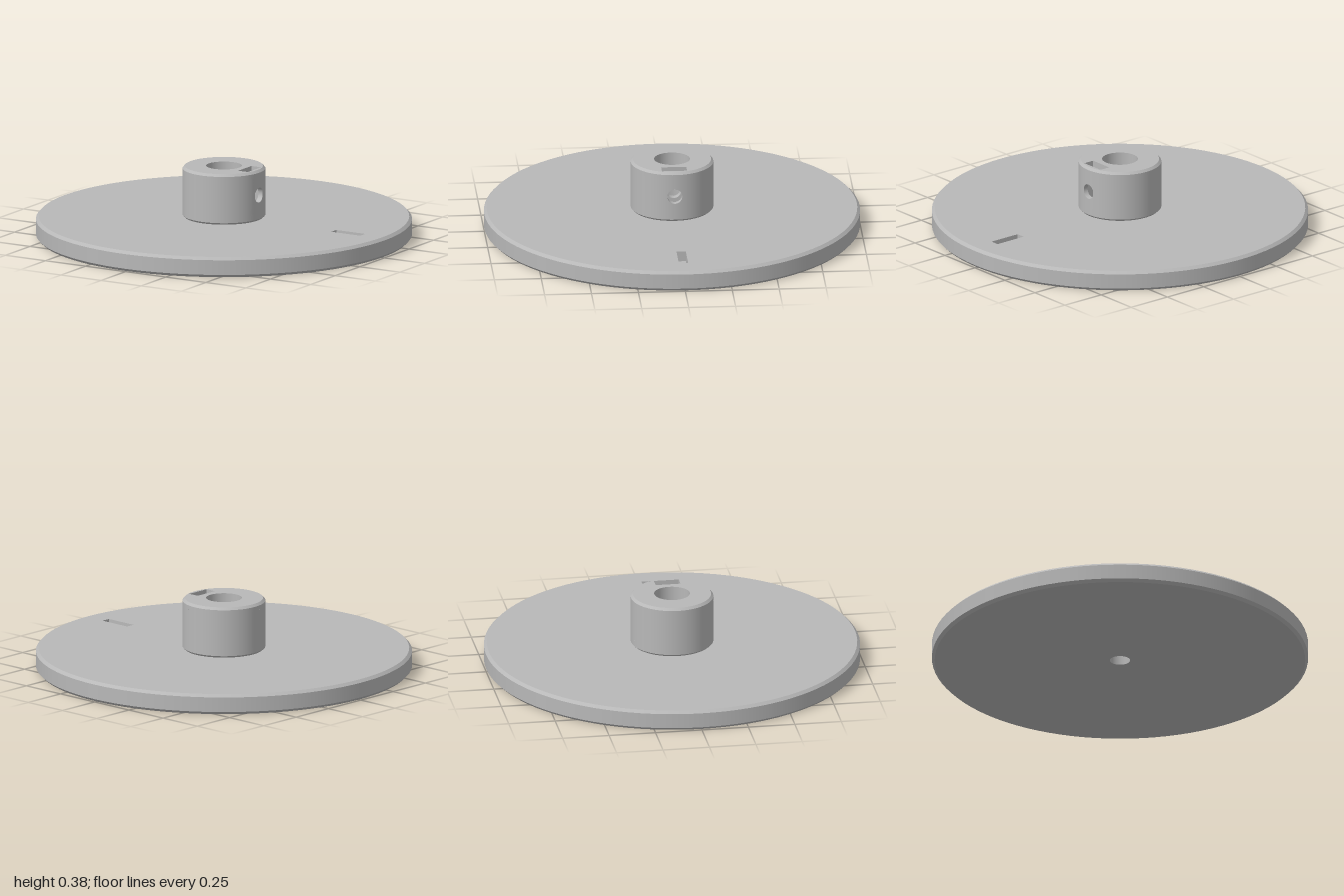
import * as THREE from 'three';
import { mergeGeometries } from 'three/addons/utils/BufferGeometryUtils.js';
import { ParametricGeometry } from 'three/addons/geometries/ParametricGeometry.js';

const SEG = 96;
const PLATE_TOP = 0.11, HUB_TOP = 0.385, HUB_R = 0.22, BORE_R = 0.095;
const SCREW_Y = 0.25, SCREW_R = 0.04;
const HUB_SLOT = { x0: 0.13, x1: 0.19, z: 0.067, floor: 0.18, top: HUB_TOP };
const PLATE_SLOT = { x0: 0.685, x1: 0.865, z: 0.025, floor: 0.055, top: PLATE_TOP };

// Revolves each profile segment separately so every edge stays sharp
function revolve(points, start = 0, length = Math.PI * 2) {
  const parts = [];
  for (let i = 0; i < points.length - 1; i++) {
    const pair = [points[i], points[i + 1]].map(([r, y]) => new THREE.Vector2(r, y));
    parts.push(new THREE.LatheGeometry(pair, SEG, start, length));
  }
  return mergeGeometries(parts);
}

// Flat horizontal disc with round and slot-shaped holes
function disc(radius, holeRadius, slot, y) {
  const shape = new THREE.Shape().absarc(0, 0, radius, 0, Math.PI * 2);
  shape.holes.push(new THREE.Path().absarc(0, 0, holeRadius, 0, Math.PI * 2, true));
  shape.holes.push(rect(new THREE.Path(), slot.x0, -slot.z, slot.x1, slot.z));
  return new THREE.ShapeGeometry(shape, SEG / 2).rotateX(-Math.PI / 2).translate(0, y, 0);
}

function rect(path, x0, y0, x1, y1) {
  return path.moveTo(x0, y0).lineTo(x1, y0).lineTo(x1, y1).lineTo(x0, y1).closePath();
}

// Inward-facing open-topped box; skip lists the box faces left out
function pocket(slot, skip) {
  const h = slot.top - slot.floor;
  const geo = new THREE.BoxGeometry(slot.x1 - slot.x0, h, slot.z * 2);
  geo.setIndex(Array.from(geo.index.array).filter((_, i) => !skip.includes(Math.floor(i / 6))));
  geo.clearGroups();
  geo.scale(-1, 1, 1).translate((slot.x0 + slot.x1) / 2, slot.floor + h / 2, 0);
  geo.computeVertexNormals();
  return geo;
}

// Cylinder wall pierced on the +x side by the screw hole
function piercedWall(radius, y0, y1, half, inward) {
  const a = Math.asin(half / radius);
  const band = (lo, hi, ...arc) =>
    revolve(inward ? [[radius, hi], [radius, lo]] : [[radius, lo], [radius, hi]], ...arc);
  const side = inward ? 1 : -1;
  const patch = new ParametricGeometry((u, v, p) => {
    const t = v * Math.PI * 2, c = Math.cos(t), s = Math.sin(t);
    const r = THREE.MathUtils.lerp(SCREW_R, half / Math.max(Math.abs(c), Math.abs(s)), u);
    const z = side * r * c;
    p.set(Math.sqrt(Math.max(0, radius * radius - z * z)), SCREW_Y + r * s, z);
  }, 8, 64);
  return mergeGeometries([
    band(y0, SCREW_Y - half), band(SCREW_Y + half, y1),
    band(SCREW_Y - half, SCREW_Y + half, Math.PI / 2 + a, Math.PI * 2 - 2 * a), patch,
  ]);
}

// Round tunnel along x between two end surfaces given as x(z)
function tunnel(startX, endX) {
  return new ParametricGeometry((u, v, p) => {
    const t = v * Math.PI * 2, z = -SCREW_R * Math.cos(t);
    p.set(THREE.MathUtils.lerp(startX(z), endX(z), u), SCREW_Y + SCREW_R * Math.sin(t), z);
  }, 1, 48);
}

// Nut slot side with the screw hole through it
function slotSide(x, facing) {
  const { z, floor, top } = HUB_SLOT;
  const shape = rect(new THREE.Shape(), -z, floor, z, top);
  shape.holes.push(new THREE.Path().absarc(0, SCREW_Y, SCREW_R, 0, Math.PI * 2, true));
  return new THREE.ShapeGeometry(shape, 24).rotateY(facing * Math.PI / 2).translate(x, 0, 0);
}

export function createModel() {
  const model = new THREE.Group();
  const grey = new THREE.MeshStandardMaterial({ color: 0xb8b8b8, side: THREE.DoubleSide });
  grey.name = 'grey';

  const plate = new THREE.Group();
  plate.name = 'plate';
  const hub = new THREE.Group();
  hub.name = 'hub';
  model.add(plate, hub);
  const add = (group, name, geometry) => {
    const mesh = new THREE.Mesh(geometry, grey);
    mesh.name = name;
    group.add(mesh);
  };

  // Round plate with chamfered rims and a blind centre hole underneath
  add(plate, 'plateBody', revolve([
    [0, 0.08], [0.054, 0.08], [0.054, 0], [0.985, 0], [1, 0.015], [1, 0.095], [0.985, PLATE_TOP],
  ]));
  add(plate, 'plateTop', disc(0.985, 0.21, PLATE_SLOT, PLATE_TOP));
  add(plate, 'plateSlot', pocket(PLATE_SLOT, [2]));

  // Hub with chamfered ends
  add(hub, 'hubWall', piercedWall(HUB_R, 0.12, 0.372, 0.1, false));
  add(hub, 'hubLowerChamfer', revolve([[0.21, PLATE_TOP], [HUB_R, 0.12]]));
  add(hub, 'hubUpperChamfer', revolve([[HUB_R, 0.372], [0.208, HUB_TOP]]));
  add(hub, 'hubTop', disc(0.208, BORE_R, HUB_SLOT, HUB_TOP));

  // Blind shaft bore
  add(hub, 'boreWall', piercedWall(BORE_R, PLATE_TOP, HUB_TOP, 0.06, true));
  add(hub, 'boreFloor', revolve([[BORE_R, PLATE_TOP], [0, PLATE_TOP]]));

  // Nut slot and the screw hole crossing it
  add(hub, 'nutSlot', pocket(HUB_SLOT, [0, 1, 2]));
  add(hub, 'nutSlotInnerSide', slotSide(HUB_SLOT.x0, 1));
  add(hub, 'nutSlotOuterSide', slotSide(HUB_SLOT.x1, -1));
  const onCylinder = (r) => (z) => Math.sqrt(r * r - z * z);
  add(hub, 'screwHoleInner', tunnel(onCylinder(BORE_R), () => HUB_SLOT.x0));
  add(hub, 'screwHoleOuter', tunnel(() => HUB_SLOT.x1, onCylinder(HUB_R)));

  return model;
}
